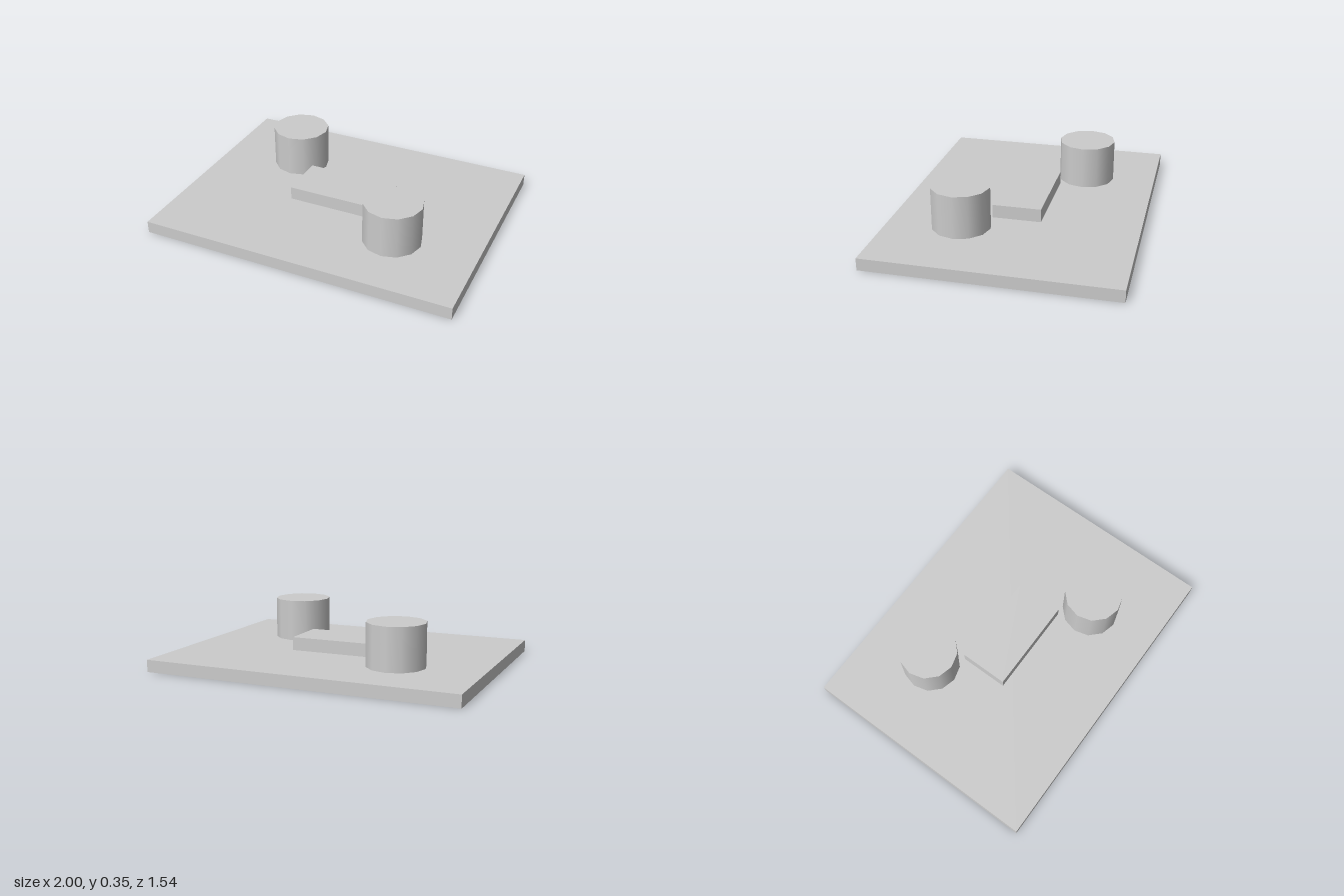
import * as THREE from 'three';

export function createModel() {
  const model = new THREE.Group();
  const material = new THREE.MeshStandardMaterial({ color: 0xcccccc });
  const plateTop = 0.077;

  // Places a part of the given height with its underside at y = bottom
  const addPart = (name, geometry, height, x, bottom, z) => {
    const mesh = new THREE.Mesh(geometry, material);
    mesh.name = name;
    mesh.position.set(x, bottom + height / 2, z);
    model.add(mesh);
  };

  // Flat base plate
  addPart('basePlate', new THREE.BoxGeometry(2, plateTop, 1.538), plateTop, 0, 0, 0);

  // Low block in the middle
  addPart('centerBlock', new THREE.BoxGeometry(0.615, 0.085, 0.308), 0.085, 0, plateTop, 0);

  // Two twelve-sided posts on opposite corners of the block
  for (const [name, side] of [['backRightPost', -1], ['frontLeftPost', 1]]) {
    const post = new THREE.CylinderGeometry(0.184, 0.184, 0.271, 12);
    addPart(name, post, 0.271, side * 0.4615, plateTop, side * 0.3077);
  }

  return model;
}
